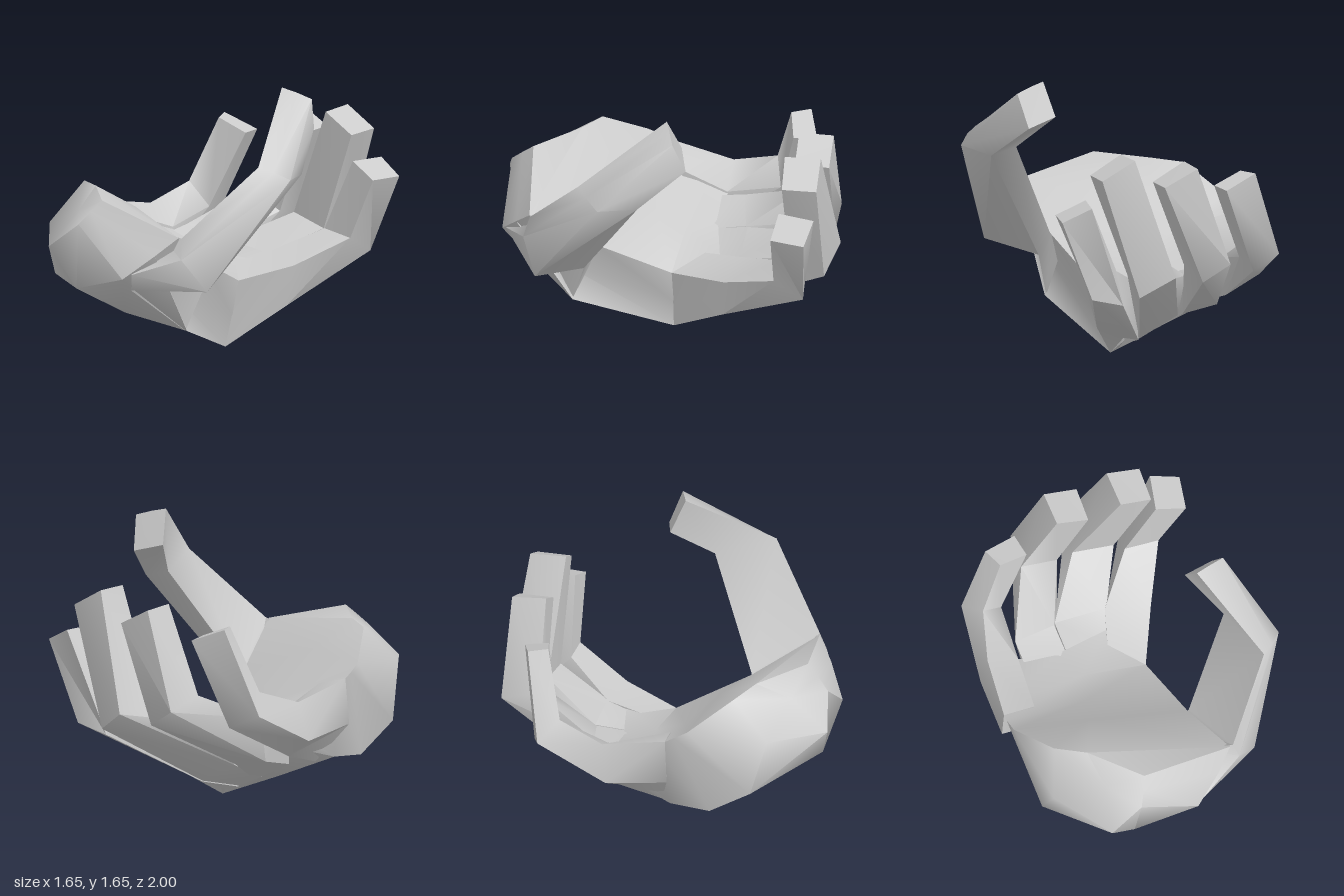
import * as THREE from 'three';
import { toCreasedNormals } from 'three/addons/utils/BufferGeometryUtils.js';

const material = new THREE.MeshStandardMaterial({ color: 0xcccccc, side: THREE.DoubleSide });

// Joins equal-length rings of [x, y, z] corners into a closed skin with capped ends.
function loft(name, rings) {
  const n = rings[0].length;
  const points = rings.flat().map(p => new THREE.Vector3(...p));
  const faces = [];
  for (let r = 0; r < rings.length - 1; r++) {
    for (let i = 0; i < n; i++) {
      const a = r * n + i, b = r * n + (i + 1) % n;
      faces.push([a, b, b + n], [a, b + n, a + n]);
    }
  }
  for (const end of [0, rings.length - 1]) {
    const centre = new THREE.Vector3();
    for (let i = 0; i < n; i++) centre.addScaledVector(points[end * n + i], 1 / n);
    const c = points.push(centre) - 1;
    for (let i = 0; i < n; i++) {
      const a = end * n + i, b = end * n + (i + 1) % n;
      faces.push(end === 0 ? [c, b, a] : [c, a, b]);
    }
  }
  // Turn the skin outwards if the rings were wound the other way
  const cross = new THREE.Vector3();
  const volume = faces.reduce((sum, [a, b, c]) =>
    sum + points[a].dot(cross.crossVectors(points[b], points[c])), 0);
  if (volume < 0) faces.forEach(f => f.reverse());

  const geometry = new THREE.BufferGeometry().setFromPoints(points);
  geometry.setIndex(faces.flat());
  const mesh = new THREE.Mesh(toCreasedNormals(geometry, 1.05), material);
  mesh.name = name;
  return mesh;
}

// Rings from wrist to finger roots: three corners across the hollow from the
// little-finger side to the thumb side, then four back along the outside
const palm = [
  [[-0.69, 1.0, 0.37], [-0.54, 1.02, 0.5], [-0.33, 1.03, 0.8],
    [-0.37, 0.97, 0.86], [-0.42, 0.9, 0.92], [-0.62, 0.74, 0.92], [-0.81, 0.78, 0.57]],
  [[-0.8, 0.84, 0.1], [-0.4, 0.86, 0.28], [0.22, 0.89, 0.86],
    [0.1, 0.78, 0.93], [-0.08, 0.63, 1.0], [-0.45, 0.5, 0.89], [-0.83, 0.44, 0.47]],
  [[-0.8, 0.8, 0.02], [-0.3, 0.59, 0.08], [0.17, 0.64, 0.46],
    [0.08, 0.5, 0.7], [0.13, 0.25, 0.6], [-0.3, 0.3, 0.58], [-0.75, 0.27, 0.23]],
  [[-0.77, 0.72, -0.1], [-0.22, 0.5, -0.09], [0.15, 0.42, 0.02],
    [0.1, 0.2, 0.01], [0.05, 0, 0], [-0.3, 0.13, 0.05], [-0.7, 0.29, 0]],
  [[-0.52, 0.56, -0.36], [-0.27, 0.5, -0.28], [0.05, 0.47, -0.27],
    [0.12, 0.18, -0.2], [-0.03, 0.2, -0.24], [-0.3, 0.33, -0.28], [-0.55, 0.38, -0.28]],
];

// Finger rings: outer right, inner right, inner left, outer left
const fingers = {
  indexFinger: [
    [[0.05, 0, 0], [0.15, 0.42, 0.02], [-0.02, 0.46, -0.12], [-0.08, 0.06, -0.04]],
    [[0.31, 0.22, -0.27], [0.36, 0.47, -0.27], [0.11, 0.49, -0.38], [0.03, 0.12, -0.28]],
    [[0.62, 0.49, -0.72], [0.58, 0.6, -0.55], [0.38, 0.62, -0.6], [0.42, 0.44, -0.74]],
    [[0.82, 0.97, -0.71], [0.75, 0.98, -0.52], [0.58, 1.06, -0.58], [0.66, 1.05, -0.78]],
  ],
  middleFinger: [
    [[0, 0.03, -0.02], [0.05, 0.44, -0.15], [-0.25, 0.48, -0.1], [-0.25, 0.14, -0.07]],
    [[0.03, 0.13, -0.29], [0.12, 0.49, -0.38], [-0.19, 0.51, -0.45], [-0.21, 0.25, -0.33]],
    [[0.38, 0.5, -0.86], [0.34, 0.6, -0.66], [0.1, 0.65, -0.73], [0.2, 0.62, -0.97]],
    [[0.6, 1.21, -0.8], [0.56, 1.21, -0.6], [0.37, 1.32, -0.63], [0.4, 1.32, -0.84]],
  ],
  ringFinger: [
    [[-0.2, 0.12, -0.07], [-0.24, 0.48, -0.15], [-0.5, 0.55, -0.2], [-0.48, 0.25, -0.15]],
    [[-0.23, 0.26, -0.35], [-0.2, 0.51, -0.44], [-0.46, 0.57, -0.45], [-0.45, 0.3, -0.38]],
    [[0, 0.57, -0.95], [0, 0.64, -0.74], [-0.22, 0.74, -0.78], [-0.16, 0.67, -1.0]],
    [[0.23, 1.15, -0.9], [0.19, 1.15, -0.7], [0, 1.26, -0.74], [0.03, 1.25, -0.94]],
  ],
  littleFinger: [
    [[-0.6, 0.26, -0.05], [-0.6, 0.72, 0], [-0.79, 0.77, -0.03], [-0.81, 0.5, -0.02]],
    [[-0.56, 0.33, -0.3], [-0.5, 0.57, -0.35], [-0.68, 0.68, -0.4], [-0.74, 0.45, -0.38]],
    [[-0.44, 0.57, -0.8], [-0.43, 0.63, -0.66], [-0.56, 0.77, -0.65], [-0.63, 0.65, -0.78]],
    [[-0.22, 1.08, -0.86], [-0.22, 1.09, -0.72], [-0.4, 1.16, -0.72], [-0.43, 1.16, -0.84]],
  ],
};

// Thumb rings: upper ridge, front, lower edge, underside, web
const thumb = [
  [[0, 0.87, 0.72], [-0.03, 0.66, 0.98], [-0.06, 0.55, 0.93], [0.12, 0.25, 0.6], [0.1, 0.55, 0.46]],
  [[0.24, 0.89, 0.86], [0.26, 0.77, 0.9], [0.4, 0.58, 0.84], [0.21, 0.51, 0.54], [0.18, 0.65, 0.46]],
  [[0.61, 1.31, 0.6], [0.69, 1.28, 0.56], [0.77, 1.23, 0.5], [0.71, 1.2, 0.26], [0.55, 1.24, 0.24]],
  [[0.47, 1.65, 0.07], [0.56, 1.63, 0.06], [0.66, 1.6, 0.05], [0.63, 1.4, -0.03], [0.44, 1.45, -0.02]],
];

export function createModel() {
  const hand = new THREE.Group();
  hand.name = 'cuppedHand';
  hand.add(loft('palm', palm), loft('thumb', thumb));
  for (const [name, rings] of Object.entries(fingers)) hand.add(loft(name, rings));
  return hand;
}
